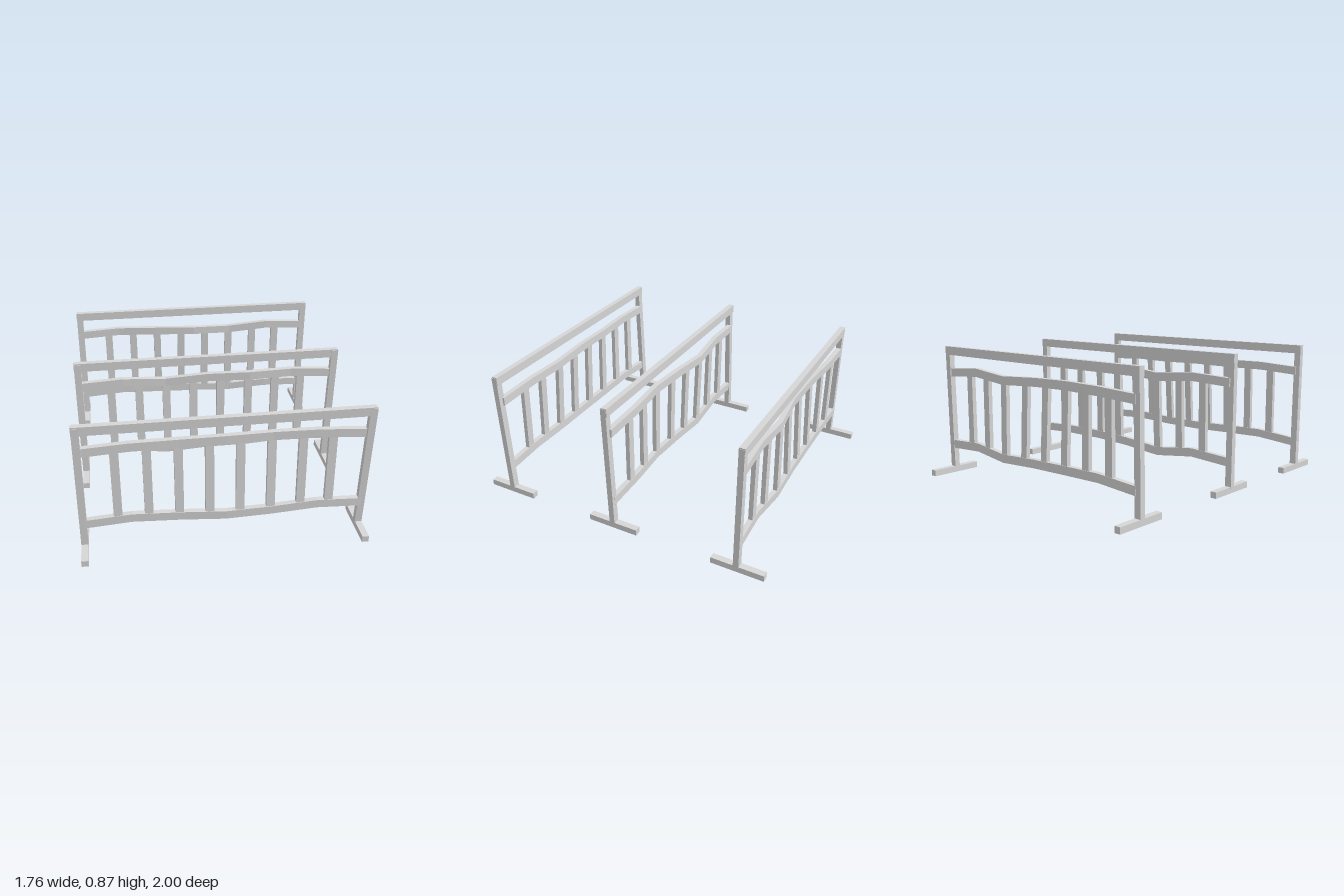
import * as THREE from 'three';

const RAIL_H = 0.055, RAIL_D = 0.034, HALF = 0.85;
const BALUSTERS = [-0.648, -0.463, -0.28, -0.098, 0.086, 0.274, 0.46, 0.638];

// Each rail is a bent bar through seven evenly spaced points: heights (y) and depths (z)
const BARRIERS = [
  {
    name: 'frontBarrier', foot: 0.828, rail: 0.846, bottom: 0.83, top: 0.85,
    upper: { y: [0.695, 0.71, 0.708, 0.71, 0.706, 0.708, 0.693], z: [0.836, 0.833, 0.826, 0.827, 0.813, 0.823, 0.832] },
    lower: { y: [0.194, 0.217, 0.208, 0.196, 0.2, 0.213, 0.198], z: [0.836, 0.839, 0.845, 0.857, 0.85, 0.842, 0.838] },
  },
  {
    name: 'middleBarrier', foot: 0.03, rail: 0.041, bottom: 0.033, top: 0.047,
    upper: { y: [0.695, 0.708, 0.685, 0.708, 0.712, 0.71, 0.695], z: [0.033, 0.026, 0.01, 0.022, 0.042, 0.022, 0.03] },
    lower: { y: [0.194, 0.212, 0.177, 0.2, 0.208, 0.214, 0.198], z: [0.036, 0.035, 0.03, 0.038, 0.049, 0.028, 0.033] },
  },
  {
    name: 'rearBarrier', foot: -0.828, rail: -0.827, bottom: -0.82, top: -0.826,
    upper: { y: [0.695, 0.71, 0.71, 0.702, 0.69, 0.715, 0.695], z: [-0.828, -0.831, -0.805, -0.793, -0.819, -0.813, -0.82] },
    lower: { y: [0.194, 0.215, 0.208, 0.2, 0.186, 0.212, 0.198], z: [-0.826, -0.829, -0.825, -0.823, -0.828, -0.812, -0.82] },
  },
];

// Linear interpolation along a rail
function sample(list, x) {
  const t = THREE.MathUtils.clamp((x + HALF) / (2 * HALF), 0, 1) * (list.length - 1);
  const i = Math.min(Math.floor(t), list.length - 2);
  return THREE.MathUtils.lerp(list[i], list[i + 1], t - i);
}

// Move every vertex of a geometry by a rule
function bend(geometry, rule) {
  const p = geometry.attributes.position;
  const v = new THREE.Vector3();
  for (let i = 0; i < p.count; i++) {
    rule(v.fromBufferAttribute(p, i));
    p.setXYZ(i, v.x, v.y, v.z);
  }
  geometry.computeVertexNormals();
  return geometry;
}

// Upright bar running from point a to point b, with level ends
function upright(width, depth, a, b) {
  return bend(new THREE.BoxGeometry(width, 1, depth), (v) => {
    const end = v.y < 0 ? a : b;
    v.set(v.x + end[0], end[1], v.z + end[2]);
  });
}

function bentRail(path) {
  return bend(new THREE.BoxGeometry(2 * HALF, RAIL_H, RAIL_D, 6, 1, 1), (v) => {
    v.y += sample(path.y, v.x);
    v.z += sample(path.z, v.x);
  });
}

export function createModel() {
  const model = new THREE.Group();
  model.name = 'barriers';
  const steel = new THREE.MeshStandardMaterial({ color: 0xd6d6d6, flatShading: true });
  steel.name = 'lightGreySteel';

  for (const b of BARRIERS) {
    const barrier = new THREE.Group();
    barrier.name = b.name;
    model.add(barrier);
    const add = (name, geometry) => {
      const mesh = new THREE.Mesh(geometry, steel);
      mesh.name = name;
      barrier.add(mesh);
    };

    // Feet and slightly leaning posts
    for (const [side, x0, x1] of [['right', -0.86, -0.853], ['left', 0.85, 0.857]]) {
      add(side + 'Foot', new THREE.BoxGeometry(0.042, 0.04, 0.344).translate(x0, 0.02, b.foot));
      add(side + 'Post', upright(0.044, 0.036, [x0, 0.03, b.bottom], [x1, 0.865, b.top]));
    }

    // Straight handrail and the two bent rails
    add('handrail', new THREE.BoxGeometry(1.754, 0.056, 0.037).translate(0, 0.844, b.rail));
    add('upperRail', bentRail(b.upper));
    add('lowerRail', bentRail(b.lower));

    // Balusters between the bent rails
    for (const x of BALUSTERS) {
      add('baluster', upright(0.052, 0.028,
        [x, sample(b.lower.y, x), sample(b.lower.z, x)],
        [x, sample(b.upper.y, x), sample(b.upper.z, x)]));
    }
  }
  return model;
}
